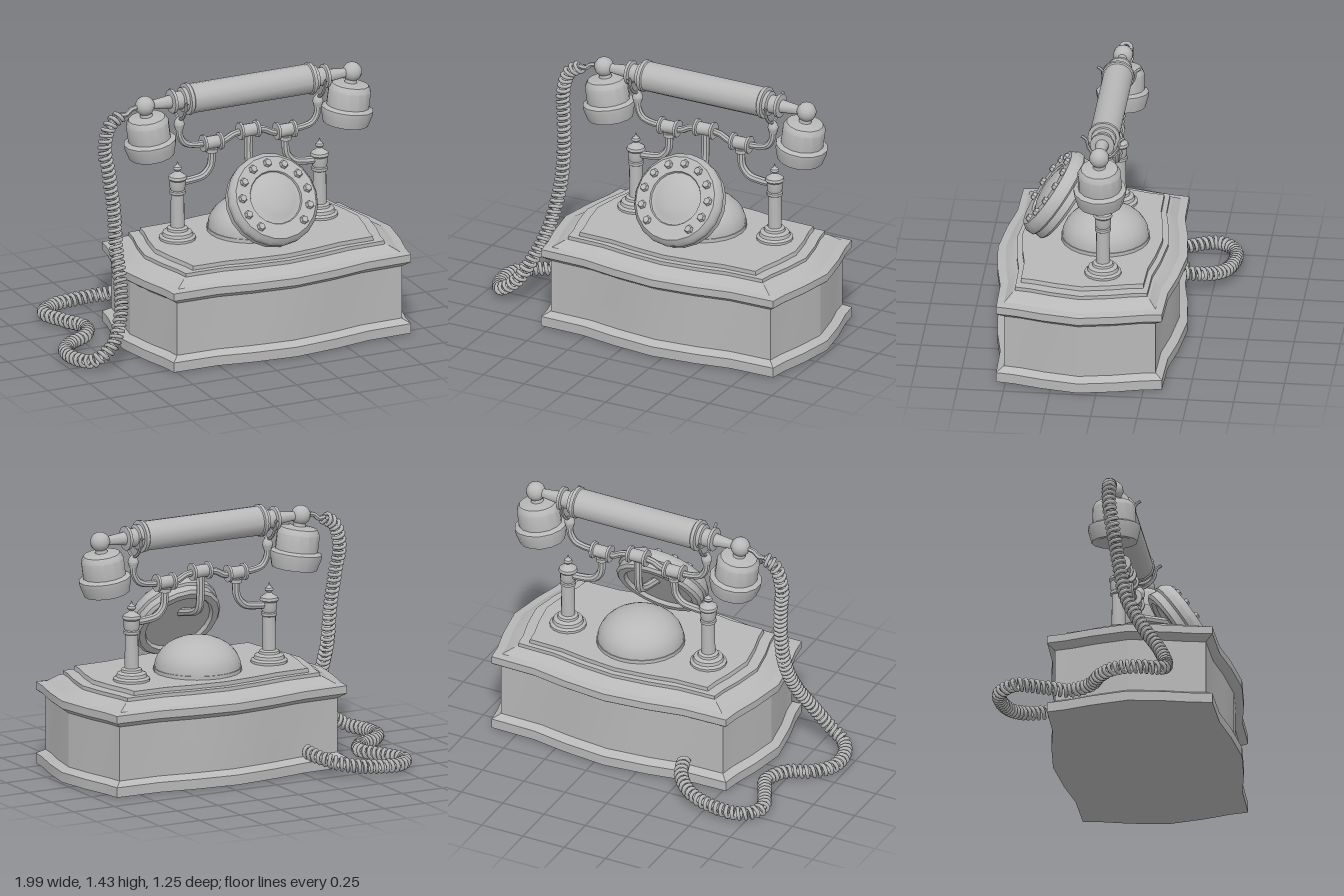
import * as THREE from 'three';
import { toCreasedNormals } from 'three/addons/utils/BufferGeometryUtils.js';

const V = (x, y, z) => new THREE.Vector3(x, y, z);

export function createModel() {
  const grey = new THREE.MeshStandardMaterial({ color: 0xb8b8b8 });
  const model = new THREE.Group();
  const phone = new THREE.Group();
  phone.name = 'telephone';
  phone.position.x = 0.19;
  model.add(phone);

  function add(parent, name, geometry, x = 0, y = 0, z = 0, crease = 0.6) {
    const mesh = new THREE.Mesh(toCreasedNormals(geometry, crease), grey);
    mesh.name = name;
    mesh.position.set(x, y, z);
    parent.add(mesh);
    return mesh;
  }
  const lathe = (points, sides = 16) =>
    new THREE.LatheGeometry(points.map(([r, y]) => new THREE.Vector2(r, y)), sides);
  const tube = (points, radius, steps = 20, sides = 8) =>
    new THREE.TubeGeometry(new THREE.CatmullRomCurve3(points), steps, radius, sides);

  // Case outline: slightly bowed on all four sides, mirrored from one quarter
  const quarter = [[0.8, 0], [0.765, 0.2], [0.725, 0.35], [0.71, 0.45],
    [0.45, 0.455], [0.25, 0.49], [0, 0.515]];
  const half = [...quarter, ...quarter.slice(0, -1).reverse().map(([x, z]) => [-x, z])].slice(0, -1);
  const outline = [...half, ...half.map(([x, z]) => [-x, -z])];

  // Stacks inset copies of the outline; each ring is [inset x, inset z, y]
  function stack(rings) {
    const n = outline.length, pos = [], idx = [];
    for (const [ix, iz, y] of rings)
      for (const [x, z] of outline) pos.push(x * (1 - ix / 0.8), y, z * (1 - iz / 0.515));
    const bottom = rings.length * n, top = bottom + 1, last = (rings.length - 1) * n;
    pos.push(0, rings[0][2], 0, 0, rings[rings.length - 1][2], 0);
    for (let i = 0; i < n; i++) {
      const j = (i + 1) % n;
      for (let r = 0; r < last; r += n)
        idx.push(r + i, r + n + i, r + j, r + j, r + n + i, r + n + j);
      idx.push(bottom, i, j, top, last + j, last + i);
    }
    const g = new THREE.BufferGeometry();
    g.setAttribute('position', new THREE.Float32BufferAttribute(pos, 3));
    g.setIndex(idx);
    return g;
  }
  add(phone, 'case', stack([
    [0, 0, 0.01], [0, 0, 0.065], [0.035, 0.035, 0.085], [0.042, 0.045, 0.09],
    [0.042, 0.045, 0.39], [0.005, 0.005, 0.415], [0, 0, 0.42], [0, 0, 0.462],
    [0.05, 0.045, 0.47], [0.11, 0.09, 0.505], [0.13, 0.105, 0.51], [0.13, 0.105, 0.53],
    [0.19, 0.135, 0.532], [0.195, 0.135, 0.555],
  ]), 0, 0, 0.1, 0.35);

  // Bell dome on the case
  const dome = [[0, 0.55], [0.24, 0.55], [0.24, 0.575]];
  for (let i = 0; i <= 8; i++) {
    const a = i / 8 * Math.PI / 2;
    dome.push([0.235 * Math.cos(a), 0.575 + 0.17 * Math.sin(a)]);
  }
  add(phone, 'bellDome', lathe(dome, 24), 0, 0, 0.03);

  // Columns, side arms, cradle prongs and forks, mirrored
  const column = [[0, 0.55], [0.1, 0.55], [0.1, 0.568], [0.085, 0.578], [0.08, 0.595], [0.058, 0.605],
    [0.055, 0.618], [0.038, 0.625], [0.036, 0.81], [0.044, 0.815], [0.044, 0.83], [0.038, 0.835],
    [0.043, 0.85], [0.043, 0.89], [0.052, 0.9], [0.048, 0.915], [0.018, 0.935], [0.012, 0.942],
    [0.024, 0.955], [0.02, 0.967], [0.009, 0.975], [0, 1]];
  const spool = [[0, -0.056], [0.048, -0.056], [0.048, -0.042], [0.035, -0.038],
    [0.035, 0.038], [0.048, 0.042], [0.048, 0.056], [0, 0.056]];
  const addSpool = (x, y) => { add(phone, 'spool', lathe(spool, 12), x, y).rotation.z = -Math.PI / 2; };
  addSpool(0, 1.11);
  for (const s of [-1, 1]) {
    add(phone, 'column', lathe(column), s * 0.425);
    add(phone, 'sideArm', tube([V(s * 0.425, 0.875, 0), V(s * 0.34, 0.878, 0), V(s * 0.27, 0.893, 0),
      V(s * 0.228, 0.94, 0), V(s * 0.22, 1.0, 0), V(s * 0.22, 1.07, 0)], 0.022));
    add(phone, 'armCollar', lathe([[0, 0], [0.033, 0], [0.033, 0.02], [0, 0.02]], 12), s * 0.22, 1.02);
    addSpool(s * 0.22, 1.075);
    add(phone, 'cradleRod', tube([V(s * 0.415, 1.2, 0), V(s * 0.41, 1.14, 0), V(s * 0.38, 1.095, 0),
      V(s * 0.32, 1.077, 0), V(s * 0.22, 1.075, 0), V(s * 0.15, 1.072, 0), V(s * 0.09, 1.1, 0),
      V(0, 1.11, 0)], 0.019, 32));
    add(phone, 'prongKnob', lathe([[0, 1.175], [0.022, 1.18], [0.026, 1.195], [0.03, 1.21],
      [0.024, 1.23], [0.012, 1.245], [0, 1.25]], 12), s * 0.415);
    for (const f of [-1, 1])
      add(phone, 'fork', tube([V(s * 0.415, 1.235, 0), V(s * 0.415, 1.262, f * 0.05),
        V(s * 0.415, 1.31, f * 0.083), V(s * 0.415, 1.35, f * 0.09), V(s * 0.415, 1.372, f * 0.118)],
        0.009, 14, 6));
  }

  // Tilted dial on a curved stem
  add(phone, 'dialStem', tube([V(0, 1.1, 0), V(0, 0.97, 0), V(0, 0.9, 0.015), V(0, 0.87, 0.07),
    V(0, 0.85, 0.15), V(0, 0.83, 0.24)], 0.023));
  const dial = new THREE.Group();
  dial.name = 'dial';
  dial.position.set(0, 0.8, 0.29);
  dial.rotation.x = 0.98;
  phone.add(dial);
  add(dial, 'dialBody', lathe([[0, -0.045], [0.19, -0.045], [0.2, -0.065], [0.235, -0.065], [0.25, -0.05],
    [0.245, -0.01], [0.257, 0], [0.257, 0.03], [0.245, 0.05], [0.232, 0.066], [0.15, 0.066],
    [0.145, 0.055], [0.135, 0.055], [0.11, 0.068], [0.06, 0.078], [0, 0.08]], 20));
  for (let i = -5; i <= 5; i++) {
    const a = i * 0.485;
    add(dial, 'fingerStud', new THREE.CylinderGeometry(0.018, 0.027, 0.022, 6),
      0.195 * Math.sin(a), 0.073, -0.195 * Math.cos(a));
  }

  // Handset: turned grip with an end ball and a cup on either side
  const handset = new THREE.Group();
  handset.name = 'handset';
  handset.position.y = 1.347;
  phone.add(handset);
  const end = [[0.024, 0.6], [0.026, 0.56], [0.036, 0.47], [0.066, 0.466], [0.066, 0.45], [0.05, 0.445],
    [0.05, 0.405], [0.068, 0.4], [0.068, 0.38], [0.088, 0.377], [0.088, 0.358], [0.081, 0.352]];
  const grip = [...end.map(([r, y]) => [r, -y]), ...end.slice().reverse()];
  add(handset, 'grip', lathe(grip)).rotation.z = -Math.PI / 2;
  const cup = [[0, -0.275], [0.06, -0.275], [0.1, -0.292], [0.125, -0.292], [0.143, -0.225], [0.143, -0.205],
    [0.118, -0.192], [0.118, -0.1], [0.108, -0.082], [0.1, -0.07], [0.035, -0.06], [0.03, -0.03], [0, -0.03]];
  for (const s of [-1, 1]) {
    add(handset, 'endBall', new THREE.SphereGeometry(0.054, 14, 10), s * 0.62);
    add(handset, s < 0 ? 'mouthpiece' : 'earpiece', lathe(cup, 14), s * 0.62).rotation.z = -s * 0.14;
  }

  // Coiled cord: a helix wound around a path from the handset to the back of the case
  add(model, 'cordPlug', tube([V(-0.45, 1.347, 0), V(-0.51, 1.34, 0), V(-0.54, 1.315, 0),
    V(-0.58, 1.318, 0)], 0.014, 14, 6));
  const path = new THREE.CatmullRomCurve3([
    V(-0.57, 1.318, 0), V(-0.64, 1.27, 0.005), V(-0.675, 1.15, 0.01), V(-0.66, 1, 0.03), V(-0.645, 0.8, 0.06),
    V(-0.65, 0.6, 0.1), V(-0.67, 0.4, 0.2), V(-0.71, 0.27, 0.28), V(-0.79, 0.13, 0.335), V(-0.89, 0.06, 0.32),
    V(-0.95, 0.047, 0.21), V(-0.945, 0.047, 0.08), V(-0.87, 0.047, -0.01), V(-0.75, 0.05, -0.08),
    V(-0.69, 0.05, -0.2), V(-0.75, 0.05, -0.34), V(-0.8, 0.05, -0.48), V(-0.72, 0.05, -0.575),
    V(-0.56, 0.06, -0.59), V(-0.4, 0.08, -0.545), V(-0.3, 0.11, -0.45), V(-0.265, 0.13, -0.35)]);
  const turns = 100, perTurn = 10, steps = turns * perTurn;
  const frames = path.computeFrenetFrames(steps, false);
  const coil = [];
  for (let i = 0; i <= steps; i++) {
    const a = i / perTurn * Math.PI * 2;
    coil.push(path.getPointAt(i / steps)
      .addScaledVector(frames.normals[i], 0.03 * Math.cos(a))
      .addScaledVector(frames.binormals[i], 0.03 * Math.sin(a)));
  }
  add(model, 'coiledCord', tube(coil, 0.011, steps, 6), 0, 0, 0, 1.2);

  return model;
}
